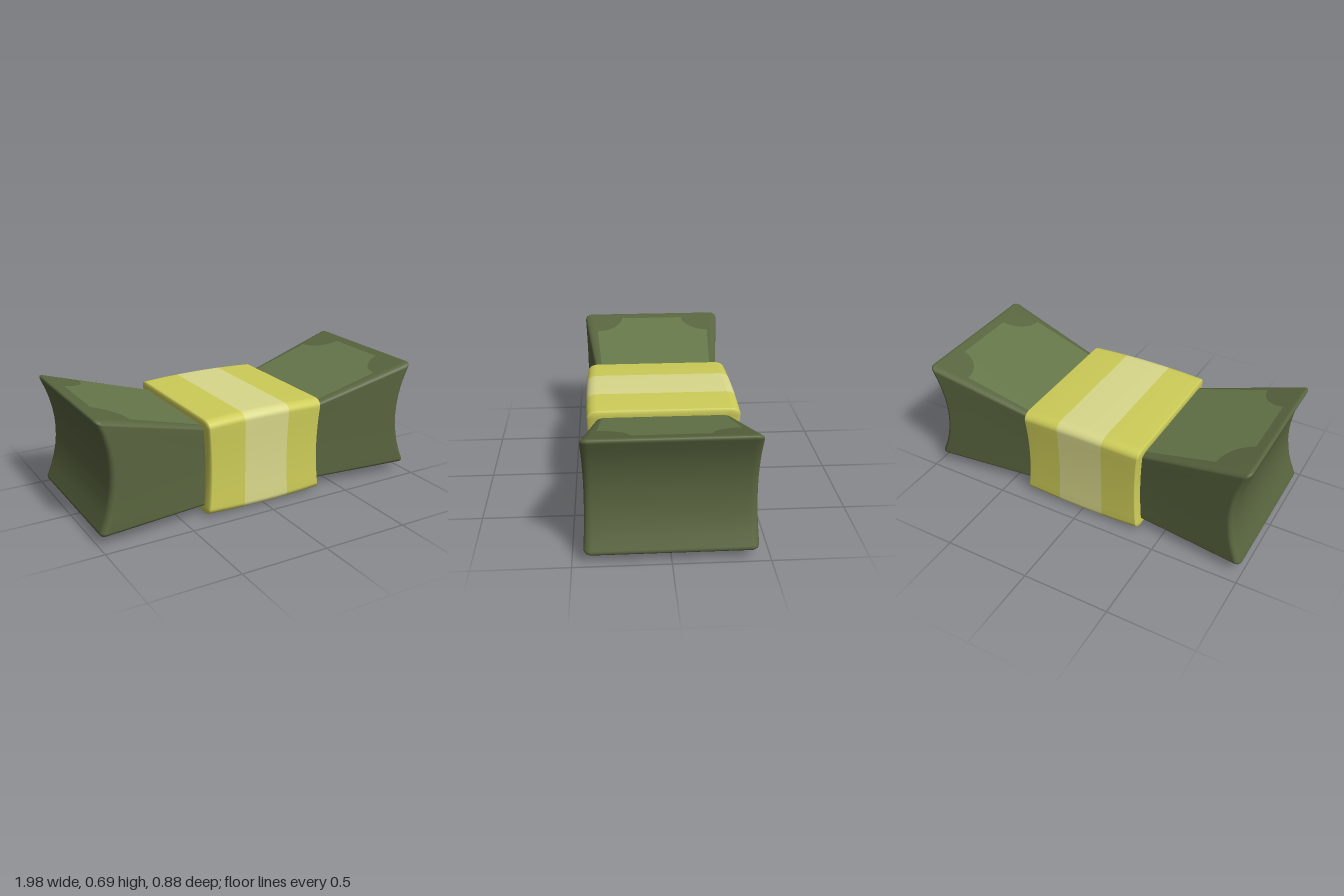
import * as THREE from 'three';
import { mergeVertices } from 'three/addons/utils/BufferGeometryUtils.js';

const ROUND = 3; // steps across each rounded edge
const MID = 10; // steps across the flat middle
const topHeight = (x) => 0.52 + 0.28 * (Math.abs(x) - 0.37);

const paint = (color, extra = {}) => new THREE.MeshStandardMaterial({ color, ...extra });

// Rounded block with half sizes and edge radii per axis, then bent by a rule
function softBlock(half, radius, bend) {
  const n = MID + 2 * ROUND;
  let geo = new THREE.BoxGeometry(n, n, n, n, n, n);
  geo.deleteAttribute('normal');
  geo.deleteAttribute('uv');
  geo.clearGroups();
  geo = mergeVertices(geo);
  const pos = geo.attributes.position;
  for (let i = 0; i < pos.count; i++) {
    const p = [pos.getX(i), pos.getY(i), pos.getZ(i)];
    const inner = p.map((v, a) => (THREE.MathUtils.clamp(v, -MID / 2, MID / 2) / (MID / 2)) * (half[a] - radius[a]));
    const out = new THREE.Vector3(...p.map((v) => {
      const over = Math.max(0, Math.abs(v) - MID / 2) / ROUND;
      return Math.sign(v) * Math.tan(over * Math.PI / 4);
    })).normalize().toArray();
    const q = inner.map((v, a) => v + out[a] * radius[a]);
    pos.setXYZ(i, ...bend(...q));
  }
  geo.computeVertexNormals();
  return geo;
}

// Keep only the triangles whose centre passes a test on x
function pickFaces(geo, test) {
  const part = geo.clone();
  const src = geo.index.array;
  const pos = geo.attributes.position;
  const kept = [];
  for (let i = 0; i < src.length; i += 3) {
    const x = (pos.getX(src[i]) + pos.getX(src[i + 1]) + pos.getX(src[i + 2])) / 3;
    if (test(x)) kept.push(src[i], src[i + 1], src[i + 2]);
  }
  part.setIndex(kept);
  return part;
}

function add(group, name, geometry, material) {
  const mesh = new THREE.Mesh(geometry, material);
  mesh.name = name;
  group.add(mesh);
  return mesh;
}

export function createModel() {
  const group = new THREE.Group();
  group.name = 'bundle';

  // Stack of notes: flares toward both ends, with hollow end faces
  const stack = softBlock([1, 1, 1], [0.035, 0.09, 0.1], (x, y, z) => {
    const low = 0.05;
    const hollow = 1 - y * y;
    const width = 0.37 + 0.12 * (Math.abs(x) - 0.37);
    return [
      x * (1 - 0.08 * hollow),
      low + ((y + 1) / 2) * (topHeight(x) - low),
      z * width * (1 - 0.025 * hollow),
    ];
  });
  add(group, 'noteStack', stack, paint(0x59653f));

  // Lighter printed panels on top, with scooped outer corners
  const shape = new THREE.Shape();
  shape.moveTo(0.3, -0.33);
  shape.lineTo(0.78, -0.36);
  shape.absarc(0.94, -0.36, 0.165, Math.PI, Math.PI / 2 + 0.12, true);
  shape.lineTo(0.92, 0.196);
  shape.absarc(0.94, 0.36, 0.165, -Math.PI / 2 - 0.12, -Math.PI, true);
  shape.lineTo(0.3, 0.33);
  shape.closePath();
  const panel = new THREE.ShapeGeometry(shape, 8);
  panel.rotateX(-Math.PI / 2);
  const pos = panel.attributes.position;
  for (let i = 0; i < pos.count; i++) pos.setY(i, topHeight(pos.getX(i)) + 0.003);
  panel.computeVertexNormals();
  const panelPaint = paint(0x66774a, { side: THREE.DoubleSide });
  ['leftPanel', 'rightPanel'].forEach((name, i) => {
    add(group, name, panel, panelPaint).rotation.y = i * Math.PI;
  });

  // Paper band around the middle, slightly bulging, with a pale centre stripe
  const band = softBlock([0.37, 0.285, 0.427], [0.015, 0.045, 0.06], (x, y, z) => {
    const hollow = 1 - (y / 0.285) ** 2;
    const bulge = 1 - 0.04 * (x / 0.37) ** 2;
    return [
      x * (1 - 0.05 * hollow),
      0.285 + y * bulge,
      z * (1 - 0.02 * hollow) * (1 - 0.012 * (x / 0.37) ** 2),
    ];
  });
  const stripeEdge = 0.137;
  add(group, 'band', pickFaces(band, (x) => Math.abs(x) > stripeEdge), paint(0xcdcc58));
  add(group, 'bandStripe', pickFaces(band, (x) => Math.abs(x) <= stripeEdge), paint(0xd9d88a));

  return group;
}
